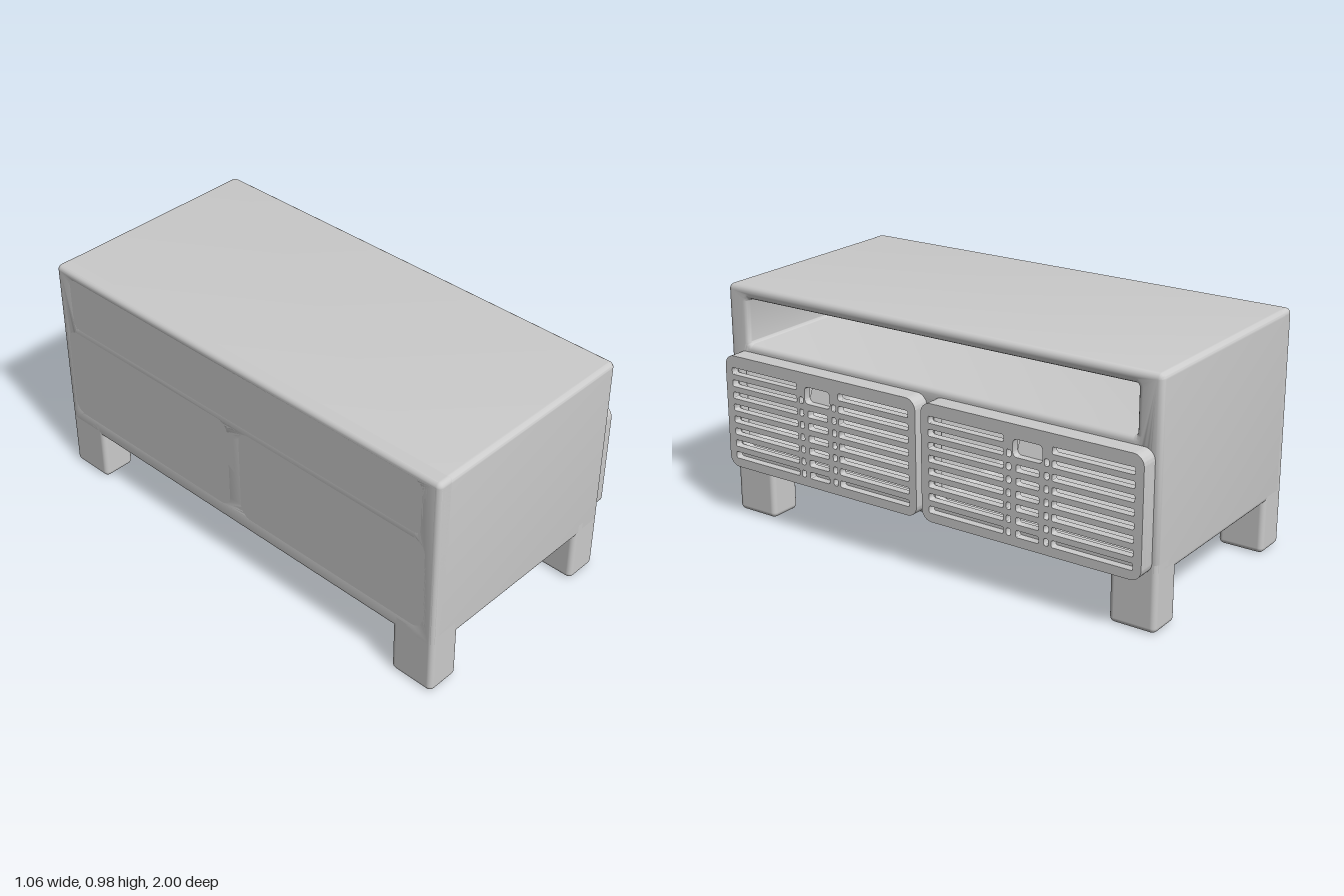
import * as THREE from 'three';
import { RoundedBoxGeometry } from 'three/addons/geometries/RoundedBoxGeometry.js';
import { toCreasedNormals } from 'three/addons/utils/BufferGeometryUtils.js';

const material = new THREE.MeshStandardMaterial({ color: 0xcccccc });

// Rounded rectangle traced on a Shape or Path, given its limits
function roundedRect(path, u0, u1, y0, y1, r) {
  path.moveTo(u0 + r, y0);
  path.lineTo(u1 - r, y0);
  path.absarc(u1 - r, y0 + r, r, -Math.PI / 2, 0);
  path.lineTo(u1, y1 - r);
  path.absarc(u1 - r, y1 - r, r, 0, Math.PI / 2);
  path.lineTo(u0 + r, y1);
  path.absarc(u0 + r, y1 - r, r, Math.PI / 2, Math.PI);
  path.lineTo(u0, y0 + r);
  path.absarc(u0 + r, y0 + r, r, Math.PI, Math.PI * 1.5);
  return path;
}
const outline = (...a) => roundedRect(new THREE.Shape(), ...a);
const hole = (...a) => roundedRect(new THREE.Path(), ...a);

// Extrude a side-on outline (u = -z, y) between two x positions
function slab(name, shape, x0, x1, bevel = 0) {
  const g = new THREE.ExtrudeGeometry(shape, {
    depth: x1 - x0 - 2 * bevel, curveSegments: 5, bevelEnabled: bevel > 0,
    bevelSize: bevel, bevelThickness: bevel, bevelOffset: -bevel, bevelSegments: 4,
  });
  g.translate(0, 0, x0 + bevel);
  g.rotateY(Math.PI / 2);
  const mesh = new THREE.Mesh(toCreasedNormals(g, 0.6), material);
  mesh.name = name;
  return mesh;
}

function box(name, x0, x1, y0, y1, z0, z1, r) {
  const mesh = new THREE.Mesh(new RoundedBoxGeometry(x1 - x0, y1 - y0, z1 - z0, 3, r), material);
  mesh.position.set((x0 + x1) / 2, (y0 + y1) / 2, (z0 + z1) / 2);
  mesh.name = name;
  return mesh;
}

const BACK = -0.53, FACE = 0.453, FRONT = 0.527;
const DRAWER_CENTRES = [0.484, -0.5];

// Cabinet with an open shelf above two drawer bays
function createCabinet() {
  const cabinet = new THREE.Group();
  cabinet.name = 'cabinet';
  const shape = outline(-1, 1, 0.215, 0.98, 0.024);
  shape.holes.push(hole(-0.9, 0.9, 0.738, 0.927, 0.012));
  for (const z of DRAWER_CENTRES) shape.holes.push(hole(-z - 0.44, -z + 0.44, 0.305, 0.67, 0.03));
  cabinet.add(slab('casing', shape, BACK, FACE, 0.022));
  cabinet.add(box('backWall', BACK, -0.45, 0.215, 0.98, -1, 1, 0.022));

  // Four short corner legs
  for (const s of [1, -1]) {
    const [z0, z1] = s > 0 ? [0.805, 1] : [-1, -0.805];
    cabinet.add(box('backLeg', BACK, -0.385, 0, 0.29, z0, z1, 0.022));
    cabinet.add(box('frontLeg', 0.308, FACE, 0, 0.29, z0, z1, 0.022));
  }
  return cabinet;
}

// Drawer front with slotted grille and finger pull
function createDrawer() {
  const drawer = new THREE.Group();
  drawer.name = 'drawer';
  const grille = outline(-0.479, 0.479, 0.232, 0.708, 0.045);
  const slot = (u0, u1, y) => grille.holes.push(hole(u0, u1, y - 0.014, y + 0.014, 0.007));
  for (let row = 0; row < 8; row++) {
    const y = 0.283 + row * 0.0515;
    for (const s of [-1, 1]) {
      const span = (a, b) => slot(Math.min(s * a, s * b), Math.max(s * a, s * b), y);
      span(0.105, 0.445);
      if (row < 7) span(0.072, 0.092);
    }
    if (row < 6) slot(-0.05, 0.05, y);
  }
  grille.holes.push(hole(-0.064, 0.064, 0.582, 0.652, 0.018));
  drawer.add(slab('grille', grille, 0.495, FRONT));

  // Rim joining the grille to the cabinet
  const rim = outline(-0.479, 0.479, 0.232, 0.708, 0.045);
  rim.holes.push(hole(-0.44, 0.44, 0.305, 0.67, 0.03));
  drawer.add(slab('rim', rim, FACE - 0.002, 0.495));

  // Sloped back of the finger pull
  const pull = new THREE.Mesh(new THREE.BoxGeometry(0.012, 0.1, 0.136), material);
  pull.position.set(0.475, 0.618, 0);
  pull.rotation.z = 0.4;
  pull.name = 'fingerPull';
  drawer.add(pull);
  return drawer;
}

export function createModel() {
  const model = new THREE.Group();
  model.name = 'drawerCabinet';
  model.add(createCabinet());
  for (const z of DRAWER_CENTRES) {
    const drawer = createDrawer();
    drawer.position.z = z;
    model.add(drawer);
  }
  return model;
}
